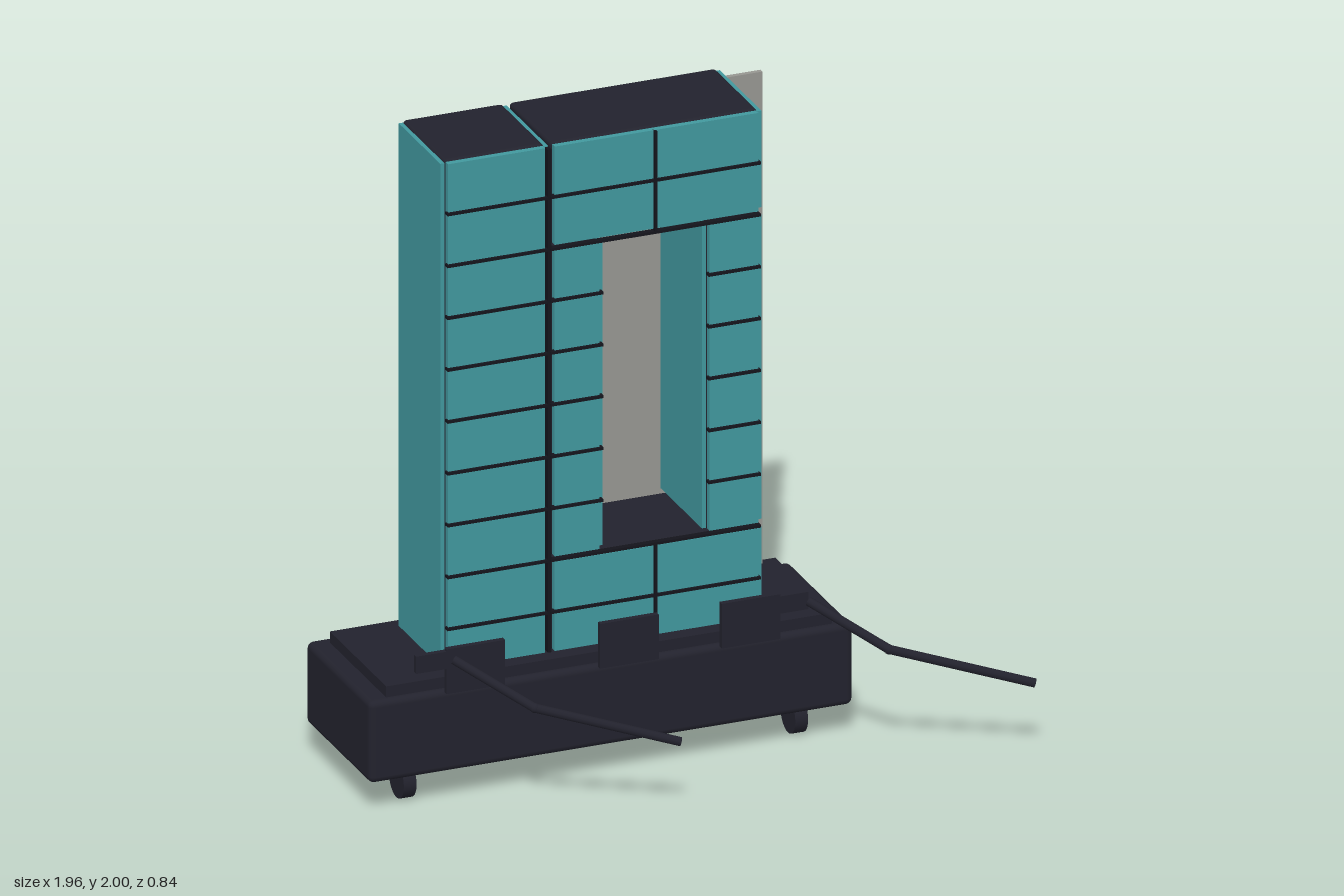
import * as THREE from 'three';
import { RoundedBoxGeometry } from 'three/addons/geometries/RoundedBoxGeometry.js';

export function createModel() {
  const model = new THREE.Group();
  const mat = (name, color) => {
    const m = new THREE.MeshStandardMaterial({ color });
    m.name = name;
    return m;
  };
  const dark = mat('dark frame', 0x22222d);
  const black = mat('black seam', 0x14141b);
  const teal = mat('teal panel', 0x41989e);
  const grey = mat('grey backboard', 0x969691);

  const add = (name, geometry, material) => {
    const mesh = new THREE.Mesh(geometry, material);
    mesh.name = name;
    model.add(mesh);
    return mesh;
  };
  // Box given by its extents, optionally with rounded edges
  const box = (name, material, x0, x1, y0, y1, z0, z1, r = 0) => {
    const s = [x1 - x0, y1 - y0, z1 - z0];
    const g = r ? new RoundedBoxGeometry(...s, 2, r) : new THREE.BoxGeometry(...s);
    add(name, g, material).position.set((x0 + x1) / 2, (y0 + y1) / 2, (z0 + z1) / 2);
  };

  // Wheeled base
  box('base', dark, -0.98, 0.54, 0.1, 0.36, -0.42, 0.07, 0.02);
  box('deck', dark, -0.92, 0.48, 0.355, 0.395, -0.38, 0.05);
  for (const x of [-0.835, 0.395]) {
    for (const z of [-0.03, -0.32]) {
      const wheel = add('wheel', new THREE.CylinderGeometry(0.057, 0.057, 0.04, 24), dark);
      wheel.rotation.z = Math.PI / 2;
      wheel.position.set(x, 0.057, z);
    }
  }

  // Tower blocks: extents, and which sides carry a side panel
  const blocks = [
    ['tallColumn', -0.71, -0.395, 0.39, 2, true, true],
    ['lowerBlock', -0.375, 0.275, 0.39, 0.682, false, true],
    ['innerPost', -0.375, -0.225, 0.69, 1.67, false, true],
    ['outerPost', 0.112, 0.275, 0.69, 1.67, true, true],
    ['upperBlock', -0.375, 0.275, 1.678, 2, false, true],
  ];
  for (const [name, x0, x1, y0, y1, leftPanel, rightPanel] of blocks) {
    box(name, dark, x0, x1, y0, y1, -0.34, -0.018, 0.012);
    box(name + 'FrontPanel', teal, x0 + 0.005, x1 - 0.005, y0 + 0.005, y1 - 0.005, -0.019, 0);
    if (leftPanel) box(name + 'SidePanel', teal, x0 - 0.012, x0 + 0.001, y0 + 0.008, y1 - 0.008, -0.335, -0.018);
    if (rightPanel) box(name + 'SidePanel', teal, x1 - 0.001, x1 + 0.012, y0 + 0.008, y1 - 0.008, -0.335, -0.018);
  }

  // Horizontal seams on the front panels
  const pitch = 0.1645;
  for (let i = 0; i < 9; i++) {
    const y = 0.522 + i * pitch;
    const seam = (x0, x1) => box('horizontalSeam', black, x0, x1, y - 0.004, y + 0.004, -0.01, 0.009);
    seam(-0.71, -0.395);
    if (i > 1 && i < 7) {
      seam(-0.385, -0.22);
      seam(0.11, 0.275);
    } else seam(-0.385, 0.275);
  }
  // Vertical seams
  box('columnSeam', black, -0.393, -0.381, 0.39, 1.99, -0.019, 0.004);
  for (const [y0, y1] of [[0.39, 0.685], [1.675, 1.995]]) {
    box('verticalSeam', black, -0.059, -0.051, y0, y1, -0.01, 0.009);
  }

  // Backboard, offset to the left
  box('backboard', grey, -0.54, 0.425, 0.4, 1.96, -0.36, -0.345);

  // Bracket plates on the front of the base
  for (const x of [-0.653, -0.17, 0.212]) {
    box('bracketPlate', dark, x - 0.092, x + 0.092, 0.355, 0.497, 0.068, 0.085);
  }
  box('bracketTab', dark, -0.84, -0.7, 0.435, 0.49, 0.068, 0.085);
  box('bracketTab', dark, 0.25, 0.392, 0.435, 0.49, 0.068, 0.085);

  // Two bent arms reaching forward
  const rod = (a, b) => {
    const dir = b.clone().sub(a);
    const mesh = add('arm', new THREE.CylinderGeometry(0.014, 0.014, dir.length(), 10), dark);
    mesh.position.copy(a).add(b).multiplyScalar(0.5);
    mesh.quaternion.setFromUnitVectors(new THREE.Vector3(0, 1, 0), dir.normalize());
  };
  for (const x of [-0.725, 0.388]) {
    const pts = [[0, 0.465, 0.095], [0.175, 0.36, 0.285], [0.583, 0.235, 0.408]]
      .map(([dx, y, z]) => new THREE.Vector3(x + dx, y, z));
    rod(pts[0], pts[1]);
    rod(pts[1], pts[2]);
    add('armElbow', new THREE.SphereGeometry(0.015, 10, 8), dark).position.copy(pts[1]);
  }
  return model;
}
